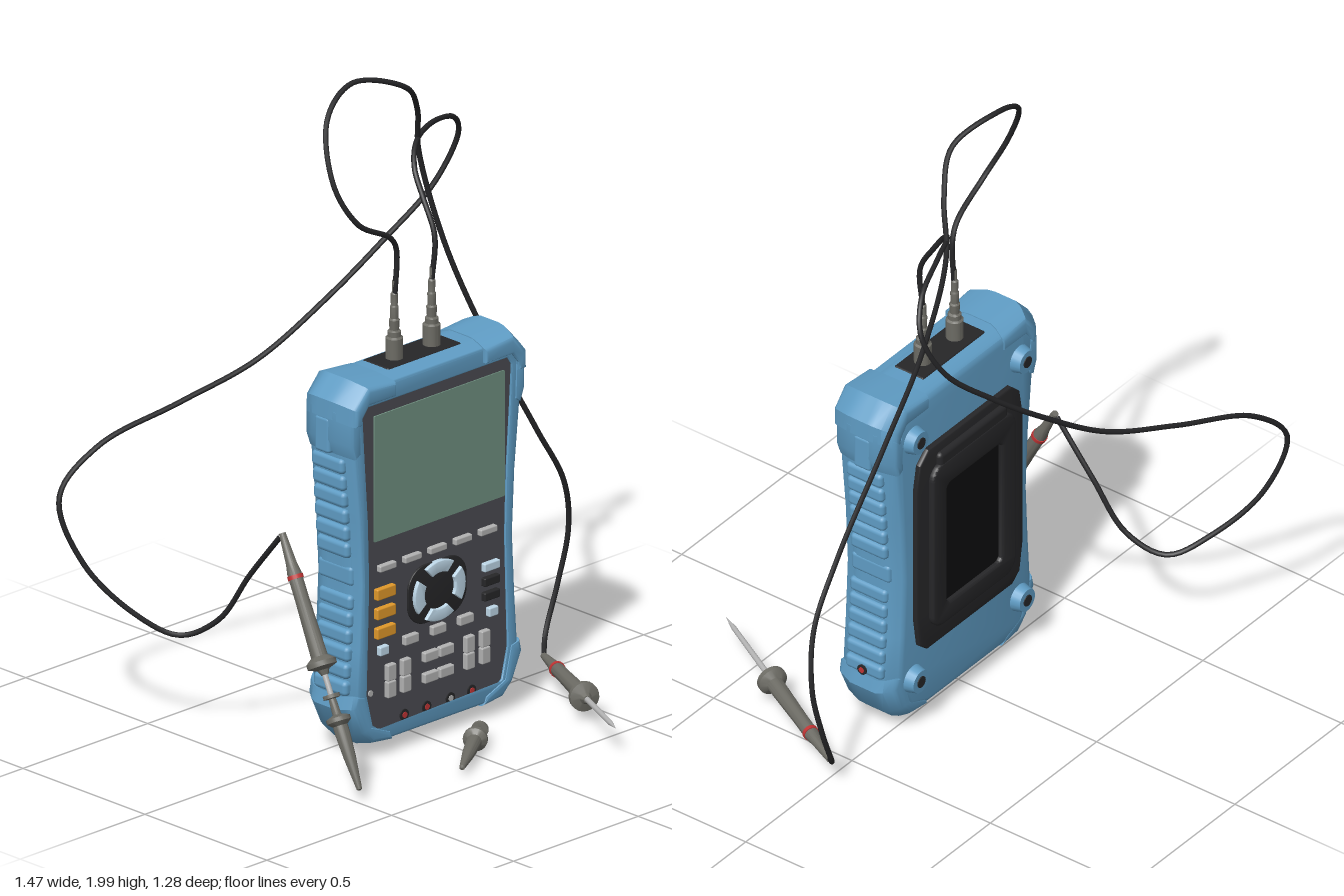
import * as THREE from 'three';
import { toCreasedNormals } from 'three/addons/utils/BufferGeometryUtils.js';
import { RoundedBoxGeometry } from 'three/addons/geometries/RoundedBoxGeometry.js';

const CX = 0.025; // middle of the case in x

function mat(name, color) {
  const m = new THREE.MeshStandardMaterial({ color });
  m.name = name;
  return m;
}

const V = (x, y, z) => new THREE.Vector3(x, y, z);
const poly = (pts) => new THREE.Shape(pts.map(([x, y]) => new THREE.Vector2(x, y)));

// closed outline from its right half, listed from bottom to top
const mirrored = (half) => poly([...half, ...half.map(([x, y]) => [-x, y]).reverse()]);

function roundRect(w, h, r, y = 0) {
  const s = new THREE.Shape();
  const a = w / 2 - r, b = h / 2 - r;
  s.absarc(a, y + b, r, 0, Math.PI / 2);
  s.absarc(-a, y + b, r, Math.PI / 2, Math.PI);
  s.absarc(-a, y - b, r, Math.PI, Math.PI * 1.5);
  s.absarc(a, y - b, r, Math.PI * 1.5, Math.PI * 2);
  s.closePath();
  return s;
}

// draws the case in towards its front and, more strongly, its back face
function taper(geo) {
  const p = geo.attributes.position;
  for (let i = 0; i < p.count; i++) {
    const z = p.getZ(i);
    const t = Math.max(0, Math.abs(z - 0.05) - 0.05) / 0.07;
    p.setX(i, p.getX(i) * (1 - (z < 0 ? 0.13 : 0.065) * t));
    p.setY(i, 0.6 + (p.getY(i) - 0.6) * (1 - (z < 0 ? 0.06 : 0.03) * t));
  }
}

export function createModel() {
  const root = new THREE.Group();
  root.name = 'handheldOscilloscope';
  const blue = mat('blue rubber', 0x5f9cc4);
  const panelGrey = mat('panel grey', 0x4a4b51);
  const screenGreen = mat('screen green', 0x6f9080);
  const black = mat('black', 0x0e0e0f);
  const rubber = mat('dark rubber', 0x262628);
  const keyGrey = mat('key grey', 0xb2b2b2);
  const paleBlue = mat('pale blue', 0xbfd9ea);
  const orange = mat('orange', 0xe0982a);
  const probeGrey = mat('probe grey', 0x6c6b64);
  const red = mat('red', 0xc03434);

  const add = (name, geo, m, parent = root) => {
    const mesh = new THREE.Mesh(geo, m);
    mesh.name = name;
    parent.add(mesh);
    return mesh;
  };
  // plate in the xy plane between two depths
  const plate = (name, shape, z0, z1, bevel, m, parent, tapered = false) => {
    const g = new THREE.ExtrudeGeometry(shape, {
      depth: z1 - z0 - 2 * bevel, steps: tapered ? 8 : 1, bevelEnabled: bevel > 0, bevelThickness: bevel,
      bevelSize: bevel, bevelOffset: -bevel, bevelSegments: 3, curveSegments: 10,
    });
    g.translate(0, 0, z0 + bevel);
    if (tapered) taper(g);
    return add(name, toCreasedNormals(g, 0.6), m, parent);
  };
  const disc = (name, r, h, x, y, z, m, parent, r2 = r) => {
    const g = new THREE.CylinderGeometry(r, r2, h, 20);
    g.rotateX(Math.PI / 2);
    const d = add(name, g, m, parent);
    d.position.set(x, y, z);
    return d;
  };
  const block = (name, w, h, d, x, y, z, m, parent, r = 0.006) => {
    const b = add(name, new RoundedBoxGeometry(w, h, d, 2, r), m, parent);
    b.position.set(x, y, z);
    return b;
  };

  // Case
  const unit = new THREE.Group();
  unit.name = 'unit';
  unit.position.x = CX;
  root.add(unit);
  const outer = [[0.2, 0.042], [0.285, 0.075], [0.338, 0.18], [0.326, 0.35], [0.316, 0.55],
    [0.326, 0.75], [0.346, 0.95], [0.348, 1.09], [0.3, 1.165]];
  const inner = [[0.22, 0.065], [0.27, 0.1], [0.295, 0.2], [0.29, 0.35], [0.284, 0.55],
    [0.29, 0.75], [0.304, 0.95], [0.312, 1.08], [0.295, 1.105]];
  plate('caseBody', mirrored(outer), -0.047, 0.138, 0.016, blue, unit, true);
  const rim = mirrored(outer);
  rim.holes.push(mirrored(inner));
  plate('frontRim', rim, 0.11, 0.153, 0.008, blue, unit, true);
  plate('frontPanel', mirrored(inner), 0.13, 0.146, 0, panelGrey, unit);

  // Corner bumpers and side grips
  const topCorner = [[0.334, 1.065], [0.365, 1.065], [0.364, 1.12], [0.31, 1.178],
    [0.19, 1.168], [0.19, 1.122], [0.305, 1.122], [0.332, 1.09]];
  const topCornerArm = [[0.325, 0.97], [0.348, 0.955], [0.365, 1.0], [0.364, 1.09], [0.33, 1.09]];
  const bottomCorner = [[0.306, 0.2], [0.28, 0.098], [0.2, 0.066], [0.19, 0.036], [0.275, 0.046],
    [0.315, 0.085], [0.354, 0.17], [0.345, 0.21]];
  const flip = (pts) => pts.map(([x, y]) => [-x, y]).reverse();
  for (const s of [1, -1]) {
    const side = (pts) => poly(s > 0 ? pts : flip(pts));
    plate('topCornerBumper', side(topCorner), -0.05, 0.17, 0.012, blue, unit, true);
    plate('topCornerArm', side(topCornerArm), -0.05, 0.157, 0.008, blue, unit, true);
    plate('bottomCornerBumper', side(bottomCorner), -0.046, 0.157, 0.012, blue, unit, true);
    for (let i = 0; i < 6; i++) {
      const y = 0.655 + i * 0.053;
      block('upperGrip', 0.05, 0.048, 0.13, s * (0.308 + i * 0.004), y, 0.055, blue, unit, 0.014);
    }
    for (let i = 0; i < 6; i++) {
      const y = 0.235 + i * 0.052;
      block('lowerGrip', 0.05, 0.047, 0.135, s * (0.322 - i * 0.004), y, 0.06, blue, unit, 0.014);
    }
    block('gripBand', 0.03, 0.06, 0.14, s * 0.305, 0.575, 0.055, blue, unit, 0.012);
    block('shoulderTab', 0.03, 0.11, 0.06, s * 0.352, 1.01, 0.05, blue, unit, 0.01);
  }
  // socket on one side
  disc('sideSocket', 0.016, 0.02, 0.342, 0.23, 0.06, rubber, unit).rotation.y = Math.PI / 2;
  disc('sideSocketPin', 0.009, 0.024, 0.342, 0.23, 0.06, red, unit).rotation.y = Math.PI / 2;

  // Screen
  plate('screen', roundRect(0.523, 0.388, 0.004, 0.866), 0.143, 0.15, 0, screenGreen, unit).position.x = 0.01;

  // Keys
  const key = (name, w, h, x, y, m) => block(name, w, h, 0.026, x - CX, y, 0.149, m, unit, 0.004);
  for (let i = 0; i < 5; i++) key('menuKey', 0.066, 0.02, -0.18 + i * 0.101, 0.587, keyGrey);
  for (let i = 0; i < 3; i++) {
    key('orangeKey', 0.074, 0.034, -0.187, 0.51 - i * 0.06, orange);
    key('rightKey', 0.062, 0.026, 0.237, 0.475 - i * 0.045, i ? rubber : paleBlue);
    key('lowerKey', 0.055, 0.028, -0.085 + i * 0.11, 0.338, keyGrey);
  }
  for (const x of [-0.195, 0.243]) key('paleKey', 0.036, 0.028, x, 0.333, paleBlue);
  for (const x of [-0.165, -0.105, 0.15, 0.212]) {
    for (const y of [0.258, 0.206]) key('rockerKey', 0.034, 0.05, x, y, keyGrey);
  }
  for (const x of [-0.006, 0.056]) {
    for (const y of [0.265, 0.2]) key('centreKey', 0.056, 0.03, x, y, keyGrey);
  }

  // Direction pad
  plate('padBase', roundRect(0.235, 0.18, 0.07, 0.458), 0.143, 0.152, 0.002, rubber, unit);
  for (let i = 0; i < 4; i++) {
    const a = i * Math.PI / 2, w = 0.58;
    const s = new THREE.Shape();
    s.absarc(0, 0, 0.102, a - w, a + w, false);
    s.absarc(0, 0, 0.062, a + w * 0.85, a - w * 0.85, true);
    s.closePath();
    const arrow = plate('arrowKey', s, 0.145, 0.163, 0.003, paleBlue, unit);
    arrow.position.set(0.002, 0.458, 0);
    arrow.scale.y = 0.9;
  }

  // Small front sockets
  [-0.105, -0.015, 0.08, 0.165].forEach((x, i) => {
    disc('frontSocket', 0.017, 0.008, x - CX, 0.108, 0.146, rubber, unit);
    disc('frontSocketPin', 0.009, 0.012, x - CX, 0.108, 0.146, i === 2 ? keyGrey : red, unit);
  });
  disc('indicator', 0.009, 0.01, -0.24 - CX, 0.21, 0.145, keyGrey, unit);

  // Back plate with folded stand
  const back = mirrored([[0.2, 0.27], [0.235, 0.3], [0.25, 0.4], [0.25, 0.85], [0.235, 0.935], [0.195, 0.972]]);
  plate('backPlate', back, -0.063, -0.04, 0.007, rubber, unit);
  const stand = roundRect(0.39, 0.57, 0.05, 0.62);
  stand.holes.push(roundRect(0.26, 0.42, 0.02, 0.61));
  plate('standFrame', stand, -0.08, -0.055, 0.008, rubber, unit);
  plate('standRecess', roundRect(0.28, 0.44, 0.02, 0.61), -0.065, -0.055, 0, black, unit);
  block('standTopBar', 0.32, 0.05, 0.03, 0, 0.915, -0.064, rubber, unit, 0.014);

  // Back feet
  for (const x of [-0.25, 0.25]) {
    for (const y of [0.19, 1.035]) {
      disc('backFoot', 0.046, 0.04, x, y, -0.057, blue, unit, 0.036);
      disc('footScrew', 0.018, 0.006, x, y, -0.077, rubber, unit);
    }
  }

  // Top connector bay, plugs and strain reliefs
  block('connectorBay', 0.295, 0.03, 0.105, -0.005, 1.153, 0.052, rubber, unit);
  const plugProfile = [[0, 0], [0.026, 0], [0.026, 0.065], [0.02, 0.07], [0.02, 0.085], [0.014, 0.09],
    [0.016, 0.12], [0.012, 0.125], [0.013, 0.16], [0.01, 0.165], [0.011, 0.2], [0.007, 0.205], [0.007, 0.24], [0, 0.24]];
  const lathe = (pts) => toCreasedNormals(
    new THREE.LatheGeometry(pts.map(([r, y]) => new THREE.Vector2(r, y)), 20), 0.6);
  for (const x of [-0.052, 0.098]) add('cablePlug', lathe(plugProfile), probeGrey).position.set(x, 1.165, 0.053);

  // Cables
  const cable = (name, pts) => add(name, new THREE.TubeGeometry(
    new THREE.CatmullRomCurve3(pts.map((p) => V(...p))), 160, 0.008, 8), rubber);
  cable('rightProbeCable', [[-0.052, 1.36, 0.055], [-0.05, 1.5, 0.06], [-0.085, 1.55, 0.07], [-0.22, 1.63, 0.075],
    [-0.272, 1.75, 0.03], [-0.225, 1.92, -0.045], [-0.1, 1.992, -0.07], [0.07, 1.945, -0.03], [0.165, 1.84, -0.075],
    [0.22, 1.68, -0.125], [0.3, 1.38, -0.1], [0.41, 1.08, -0.045], [0.57, 0.76, 0], [0.68, 0.57, 0],
    [0.727, 0.4, -0.03], [0.7, 0.24, -0.045], [0.64, 0.1, -0.035], [0.585, 0.058, 0.015]]);
  cable('leftProbeCable', [[0.098, 1.36, 0.053], [0.108, 1.5, 0.055], [0.115, 1.6, 0], [0.13, 1.67, -0.05],
    [0.19, 1.72, -0.105], [0.3, 1.735, -0.155], [0.44, 1.7, -0.205], [0.495, 1.62, -0.245], [0.44, 1.47, -0.29],
    [0.29, 1.32, -0.345], [0.12, 1.18, -0.395], [-0.1, 1.03, -0.46], [-0.34, 0.945, -0.53], [-0.6, 0.86, -0.602],
    [-0.725, 0.73, -0.632], [-0.685, 0.53, -0.575], [-0.59, 0.38, -0.46], [-0.505, 0.318, -0.365],
    [-0.452, 0.38, -0.26], [-0.43, 0.54, -0.155], [-0.43, 0.7, -0.025]]);

  // Probes: each runs along its own y axis, aimed from tail to tip
  const aim = (obj, from, to) => {
    obj.position.copy(from);
    obj.quaternion.setFromUnitVectors(V(0, 1, 0), to.clone().sub(from).normalize());
  };
  const probe = (name, tail, tip) => {
    const g = new THREE.Group();
    g.name = name;
    root.add(g);
    add('probeHandle', lathe([[0, 0], [0.01, 0], [0.016, 0.09], [0.021, 0.12], [0.021, 0.2], [0.025, 0.37],
      [0.044, 0.385], [0.044, 0.4], [0.018, 0.41], [0.011, 0.425], [0, 0.425]]), probeGrey, g);
    add('probeNeedle', lathe([[0.0085, 0.42], [0.0075, 0.65], [0.005, 0.67], [0, 0.705]]), keyGrey, g);
    add('probeRing', new THREE.CylinderGeometry(0.0235, 0.0235, 0.012, 20), red, g).position.y = 0.132;
    aim(g, tail, tip);
  };
  probe('leftProbe', V(-0.43, 0.71, -0.02), V(-0.49, 0.04, 0.36));
  probe('rightProbe', V(0.59, 0.058, 0.01), V(0.27, 0.1, 0.63));

  // Hook caps: one on a probe, one lying loose
  const capProfile = [[0, 0], [0.008, 0.004], [0.018, 0.1], [0.022, 0.17], [0.022, 0.195], [0.036, 0.207],
    [0.036, 0.219], [0.013, 0.228], [0.011, 0.275], [0.025, 0.277], [0.025, 0.288], [0, 0.288]];
  aim(add('fittedHookCap', lathe(capProfile), probeGrey), V(-0.49, 0.04, 0.36), V(-0.43, 0.71, -0.02));
  aim(add('looseHookCap', lathe(capProfile), probeGrey), V(-0.15, 0.035, 0.43), V(0.085, 0.045, 0.265));

  return root;
}
